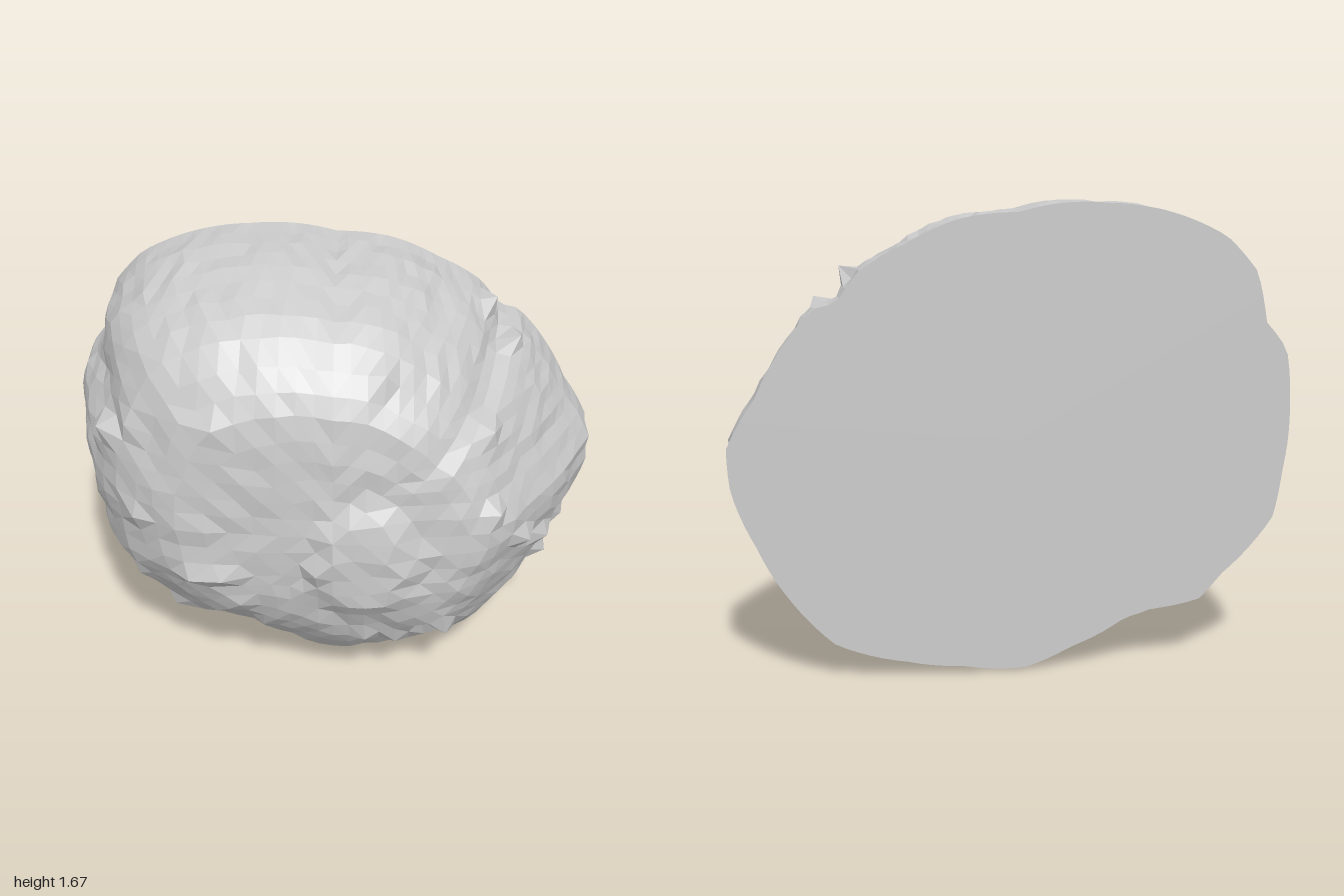
import * as THREE from 'three';

const CY = 0.85, BACK = -0.46, N = 34;

// Rim outline as [x, y]
const RIM = [[1, 0.85], [0.99, 0.7], [0.91, 0.5], [0.8, 0.3], [0.65, 0.13], [0.4, 0.05], [0.2, 0.02],
  [-0.03, 0], [-0.2, 0.07], [-0.4, 0.17], [-0.5, 0.2], [-0.68, 0.23], [-0.76, 0.32], [-0.95, 0.53],
  [-0.98, 0.7], [-1, 0.95], [-0.98, 1.15], [-0.9, 1.25], [-0.86, 1.43], [-0.75, 1.55], [-0.6, 1.62],
  [-0.32, 1.67], [0, 1.64], [0.2, 1.62], [0.38, 1.54], [0.55, 1.44], [0.62, 1.34], [0.7, 1.32],
  [0.82, 1.17], [0.9, 1.02]];

// Profile from front centre to rim: step, z, then share of the rim radius towards +x, +y, -x, -y
const PROFILE = [
  [0, 0.41, 0, 0, 0, 0],
  [0.15, 0.407, 0.28, 0.25, 0.25, 0.25],
  [0.28, 0.395, 0.48, 0.45, 0.44, 0.4],
  [0.37, 0.37, 0.58, 0.62, 0.6, 0.55],
  [0.46, 0.3, 0.65, 0.75, 0.7, 0.67],
  [0.54, 0.2, 0.72, 0.87, 0.81, 0.82],
  [0.61, 0.1, 0.79, 0.92, 0.88, 0.89],
  [0.68, 0, 0.86, 0.95, 0.92, 0.93],
  [0.75, -0.1, 0.91, 0.98, 0.955, 0.965],
  [0.89, -0.3, 1, 1, 0.995, 1],
  [1, BACK, 1, 0.995, 0.99, 0.985]];

// Chips on the surface: x, y, push (outward positive)
const CHIPS = [[0.56, 1.42, 0.05], [0.66, 1.31, 0.04], [0.18, 1.4, 0.03], [-0.42, 1.3, 0.02],
  [-0.84, 1.12, 0.03], [-0.72, 1.2, 0.03], [0.55, 1.15, 0.03], [0.58, 0.9, 0.03], [0.68, 0.73, 0.04],
  [-0.68, 0.83, 0.03], [-0.48, 0.67, 0.03], [-0.35, 0.66, 0.03], [-0.06, 0.72, 0.02], [0.78, 0.62, 0.04],
  [0.8, 0.42, 0.04], [0.42, 0.37, 0.04], [0.36, 0.35, -0.03], [-0.73, 0.5, 0.03], [-0.82, 0.5, -0.03],
  [-0.25, 0.36, 0.03], [0.08, 0.37, 0.03], [0.23, 0.28, 0.02], [0.88, 0.57, 0.03], [-0.6, 0.36, 0.03]];

// Radius of an outline at a given angle
function radiusOf(outline) {
  const pts = outline.map(([x, y]) => [Math.atan2(y - CY, x), Math.hypot(x, y - CY)]).sort((a, b) => a[0] - b[0]);
  const n = pts.length, full = Math.PI * 2;
  const ring = [[pts[n - 1][0] - full, pts[n - 1][1]], ...pts, [pts[0][0] + full, pts[0][1]]];
  return (angle) => {
    const a = Math.atan2(Math.sin(angle), Math.cos(angle));
    const k = Math.max(1, ring.findIndex((p) => p[0] >= a));
    const [a0, r0] = ring[k - 1], [a1, r1] = ring[k];
    return r0 + (r1 - r0) * (a - a0) / (a1 - a0);
  };
}

function seeded(seed) {
  return () => {
    seed = (seed * 16807) % 2147483647;
    return seed / 2147483647;
  };
}

// Profile at step s and angle a: [z, share of rim radius]
function profileAt(s, a) {
  const k = Math.max(1, PROFILE.findIndex((row) => row[0] >= s));
  const lo = PROFILE[k - 1], hi = PROFILE[k], t = (s - lo[0]) / (hi[0] - lo[0]);
  const [, z, right, top, left, bottom] = lo.map((v, i) => v + (hi[i] - v) * t);
  const c = Math.cos(a), d = Math.sin(a);
  return [z, c * c * (c > 0 ? right : left) + d * d * (d > 0 ? top : bottom)];
}

// Square grid position to even disc position: [step, angle]
function toDisc(p, q) {
  if (p === 0 && q === 0) return [0, 0];
  if (Math.abs(p) >= Math.abs(q)) return [Math.abs(p), Math.PI / 4 * q / p + (p < 0 ? Math.PI : 0)];
  return [Math.abs(q), Math.PI / 2 - Math.PI / 4 * p / q + (q < 0 ? Math.PI : 0)];
}

function rockGeometry() {
  const rim = radiusOf(RIM), rand = seeded(4217);
  const verts = [], border = [], loose = [];

  for (let j = 0; j <= N; j++) {
    for (let i = 0; i <= N; i++) {
      const [s, a] = toDisc(2 * i / N - 1, 2 * j / N - 1);
      const [z, share] = profileAt(s, a);
      const edge = s === 1;
      const r = rim(a) * share * (edge ? 1 : 1.004 - rand() * 0.018);
      const x = r * Math.cos(a), y = CY + r * Math.sin(a);
      // Raised patch low on the front
      const d = Math.hypot((x - 0.12) / 0.15, (y - 0.72) / 0.19);
      const patch = z > 0.3 ? 0.055 * THREE.MathUtils.clamp((1.45 - d) / 0.5, 0, 1) : 0;
      const v = new THREE.Vector3(x, y, z + patch + (edge ? 0 : (rand() - 0.5) * 0.014));
      if (edge) border.push({ id: verts.length, angle: Math.atan2(y - CY, x) });
      if (s < 0.92) loose.push(v);
      verts.push(v);
    }
  }

  // Push the vertex nearest each chip, away from or towards the core
  for (const [x, y, push] of CHIPS) {
    const dist = (v) => Math.hypot(v.x - x, v.y - y);
    const v = loose.reduce((best, p) => (dist(p) < dist(best) ? p : best));
    v.addScaledVector(new THREE.Vector3(v.x, v.y - CY, v.z + 0.2).normalize(), push);
  }

  // Domed front and sides
  const index = [];
  for (let j = 0; j < N; j++) {
    for (let i = 0; i < N; i++) {
      const a = j * (N + 1) + i, b = a + 1, d = a + N + 1, c = d + 1;
      if ((i < N / 2) === (j < N / 2)) index.push(a, b, c, a, c, d);
      else index.push(a, b, d, b, c, d);
    }
  }

  // Flat cut back
  border.sort((m, n) => m.angle - n.angle);
  const centre = verts.push(new THREE.Vector3(0, CY, BACK)) - 1;
  border.forEach((m, k) => index.push(centre, border[(k + 1) % border.length].id, m.id));

  const indexed = new THREE.BufferGeometry().setFromPoints(verts);
  indexed.setIndex(index);
  const geometry = indexed.toNonIndexed();
  geometry.computeVertexNormals();
  return geometry;
}

export function createModel() {
  const group = new THREE.Group();
  group.name = 'halfBoulder';
  const rock = new THREE.Mesh(rockGeometry(), new THREE.MeshStandardMaterial({ color: 0xcccccc, flatShading: true }));
  rock.name = 'rock';
  group.add(rock);
  return group;
}
